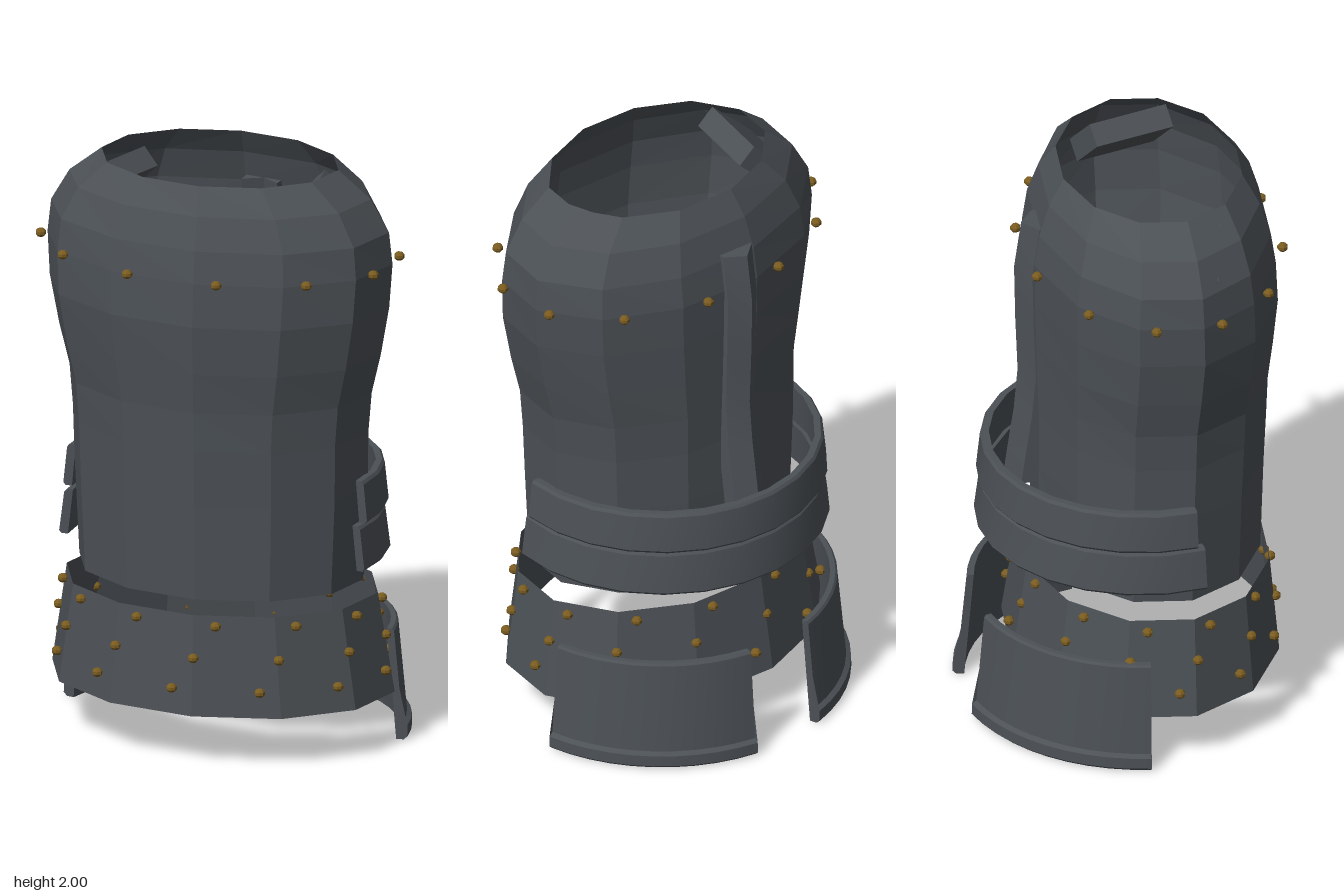
import * as THREE from 'three';
import { toCreasedNormals } from 'three/addons/utils/BufferGeometryUtils.js';

const RAD = Math.PI / 180;

// Skin a list of closed cross-sections ([x, y, z] points); optional end caps.
function loft(sections, caps = true) {
  const pos = [];
  const tri = (a, b, c) => pos.push(...a, ...b, ...c);
  const n = sections[0].length;
  for (let i = 0; i < sections.length - 1; i++) {
    for (let j = 0; j < n; j++) {
      const k = (j + 1) % n, s = sections[i], e = sections[i + 1];
      tri(s[j], e[j], e[k]);
      tri(s[j], e[k], s[k]);
    }
  }
  if (caps) {
    const s = sections[0], e = sections[sections.length - 1];
    for (let j = 1; j < n - 1; j++) {
      tri(s[0], s[j], s[j + 1]);
      tri(e[0], e[j + 1], e[j]);
    }
  }
  const geo = new THREE.BufferGeometry();
  geo.setAttribute('position', new THREE.Float32BufferAttribute(pos, 3));
  geo.computeVertexNormals();
  return geo;
}

// Twelve-sided elliptical ring: height, half width, half depth, centre z.
function ring([y, a, b, c]) {
  return Array.from({ length: 12 }, (_, i) => {
    const t = (7 + 30 * i) * RAD;
    return [a * Math.sin(t), y, c + b * Math.cos(t)];
  });
}

// Sweep a (radius, height) profile around the back between two angles.
function arcPlate(profile, from, to, steps, cz = 0.075) {
  const sections = [];
  for (let i = 0; i <= steps; i++) {
    const t = (from + (to - from) * i / steps) * RAD;
    sections.push(profile.map(([r, y]) => [r * Math.sin(t), y, cz - r * Math.cos(t)]));
  }
  return toCreasedNormals(loft(sections), 0.35);
}

export function createModel() {
  const model = new THREE.Group();
  const steel = new THREE.MeshStandardMaterial({ color: 0x4c5156 });
  steel.name = 'dark steel';
  const shell = new THREE.MeshStandardMaterial({ color: 0x4c5156, side: THREE.DoubleSide });
  shell.name = 'dark steel shell';
  const brass = new THREE.MeshStandardMaterial({ color: 0x7a5c20 });
  brass.name = 'brass';

  const add = (name, geo, mat, parent = model) => {
    const mesh = new THREE.Mesh(geo, mat);
    mesh.name = name;
    parent.add(mesh);
    return mesh;
  };

  // Open body shell, from neck to waist
  add('breastplate', loft([
    [2.0, 0.415, 0.307, 0.1],
    [1.91, 0.53, 0.36, 0.1],
    [1.8, 0.595, 0.395, 0.1],
    [1.69, 0.607, 0.412, 0.1],
    [1.54, 0.597, 0.415, 0.105],
    [1.37, 0.565, 0.405, 0.1],
    [1.23, 0.53, 0.395, 0.095],
    [1.09, 0.518, 0.39, 0.095],
    [0.9, 0.514, 0.386, 0.09],
    [0.57, 0.498, 0.378, 0.088],
  ].map(ring), false), shell);

  // Flared skirt below the waist
  add('skirt', loft([
    [0.525, 0.545, 0.417, 0.08],
    [0.18, 0.6, 0.458, 0.07],
  ].map(ring), false), shell);

  // Two overlapping bands around the lower back
  const band = (top, bottom, rTop, rBottom) => [
    [rTop - 0.008, top], [rTop, top - 0.01],
    [rBottom, bottom + 0.01], [rBottom - 0.008, bottom],
    [rBottom - 0.03, bottom], [rTop - 0.03, top],
  ];
  add('upperBackBand', arcPlate(band(0.945, 0.8, 0.54, 0.553), -97, 97, 14), steel);
  add('lowerBackBand', arcPlate(band(0.795, 0.64, 0.543, 0.56), -100, 100, 14), steel);

  // Pair of curved hanging plates with a raised lower lip
  const hanging = [
    [0.56, 0.385], [0.578, 0.385], [0.585, 0.377], [0.614, 0.06], [0.63, 0.05],
    [0.631, 0.012], [0.618, 0], [0.592, 0],
  ];
  add('leftHangingPlate', arcPlate(hanging, 13, 80, 10), steel);
  add('rightHangingPlate', arcPlate(hanging, -80, -13, 10), steel);

  // Roof-shaped ridge running down the spine
  const spine = [
    [1.82, -0.338], [1.65, -0.362], [1.45, -0.358], [1.25, -0.35],
    [1.1, -0.363], [0.95, -0.385], [0.84, -0.4],
  ].map(([y, z]) => [
    [0, y, z + 0.06], [0.065, y, z + 0.1], [0.065, y, z + 0.048],
    [0, y, z], [-0.065, y, z + 0.048], [-0.065, y, z + 0.1],
  ]);
  add('spineRidge', toCreasedNormals(loft(spine), 0.3), steel);

  // Sloping shoulder straps tucked inside the neck opening
  for (const side of [1, -1]) {
    const strap = new THREE.Group();
    strap.name = side > 0 ? 'leftShoulderStrap' : 'rightShoulderStrap';
    strap.position.set(side * 0.405, 1.868, 0.1);
    strap.rotation.y = side * 0.245;
    add('strapBlock', new THREE.BoxGeometry(0.2, 0.08, 0.285), steel, strap)
      .rotation.z = -side * 0.75;
    model.add(strap);
  }

  // Rows of rivets: height, half width, half depth, centre z, start angle
  const rivetGeo = toCreasedNormals(new THREE.SphereGeometry(0.019, 7, 5), 0.1);
  rivetGeo.scale(1, 0.85, 1);
  const rivets = new THREE.Group();
  rivets.name = 'rivets';
  model.add(rivets);
  for (const [y, a, b, c, start] of [
    [1.7, 0.622, 0.435, 0.1, 15],
    [0.49, 0.55, 0.415, 0.08, 15],
    [0.38, 0.572, 0.435, 0.08, 7.5],
    [0.27, 0.587, 0.45, 0.07, 0],
  ]) {
    for (let i = 0; i < 12; i++) {
      const t = (start + 30 * i) * RAD;
      add('rivet', rivetGeo, brass, rivets)
        .position.set(a * Math.sin(t), y, c + b * Math.cos(t));
    }
  }
  return model;
}
